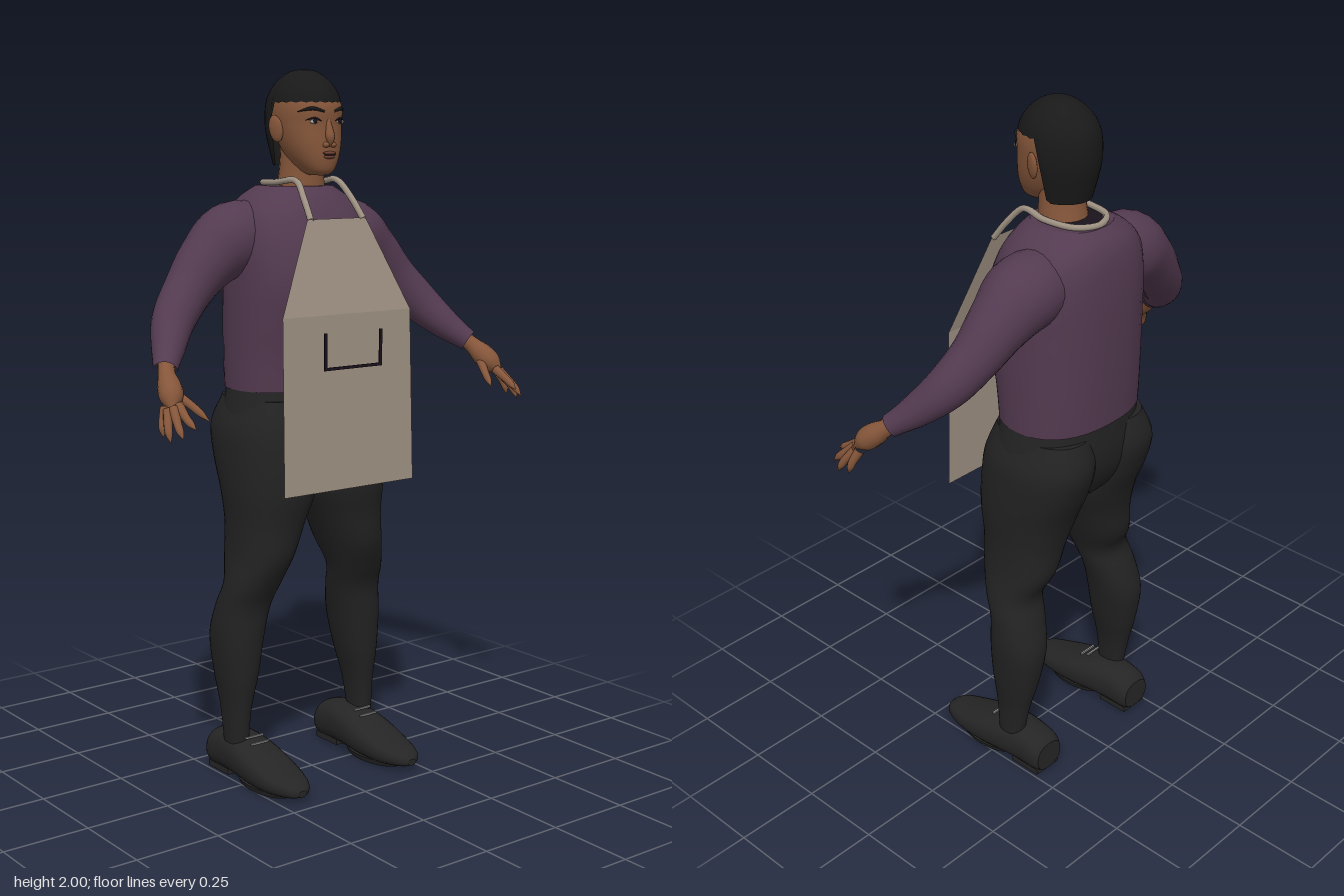
import * as THREE from 'three';
import { mergeVertices } from 'three/addons/utils/BufferGeometryUtils.js';

const V = (x, y, z) => new THREE.Vector3(x, y, z);
const mat = (name, color, side = THREE.FrontSide) => {
  const m = new THREE.MeshStandardMaterial({ color, side });
  m.name = name;
  return m;
};

// Resample section rows smoothly; the first column is the position along the loft.
function smoothRows(rows, n) {
  const curves = rows[0].map((_, k) =>
    new THREE.SplineCurve(rows.map((r, i) => new THREE.Vector2(i, r[k]))));
  return Array.from({ length: n + 1 }, (_, i) => curves.map(c => c.getPoint(i / n).y));
}

// Skin a stack of closed rings, with flat end caps.
function skin(rings) {
  const n = rings[0].length, pos = [], idx = [];
  rings.forEach(r => r.forEach(p => pos.push(p.x, p.y, p.z)));
  for (let i = 0; i < rings.length - 1; i++) for (let j = 0; j < n; j++) {
    const a = i * n + j, b = i * n + (j + 1) % n;
    idx.push(a, a + n, b, b, a + n, b + n);
  }
  [0, rings.length - 1].forEach((k, end) => {
    const c = pos.length / 3, mid = V(0, 0, 0);
    rings[k].forEach(p => { mid.addScaledVector(p, 1 / n); pos.push(p.x, p.y, p.z); });
    pos.push(mid.x, mid.y, mid.z);
    for (let j = 0; j < n; j++) {
      const a = c + j, b = c + (j + 1) % n;
      if (end) idx.push(a, c + n, b); else idx.push(a, b, c + n);
    }
  });
  const g = new THREE.BufferGeometry();
  g.setAttribute('position', new THREE.Float32BufferAttribute(pos, 3));
  g.setIndex(idx);
  g.computeVertexNormals();
  return g;
}

const pw = (v, e) => Math.sign(v) * Math.abs(v) ** (2 / e);

// Rows [y, xMin, xMax, zFront, zBack] from the bottom up.
function bodyLoft(rows, e = 2.2, steps = 32, n = 36) {
  return skin(smoothRows(rows, steps).map(([y, x0, x1, zf, zb]) =>
    Array.from({ length: n }, (_, j) => {
      const a = j / n * Math.PI * 2;
      return V((x0 + x1) / 2 + (x1 - x0) / 2 * pw(Math.cos(a), e), y,
        (zf + zb) / 2 + (zf - zb) / 2 * pw(Math.sin(a), e));
    })));
}

// Round limb along a curve whose radius follows a list.
function limb(points, radii, steps = 24, radial = 18) {
  const curve = new THREE.CatmullRomCurve3(points);
  const g = new THREE.TubeGeometry(curve, steps, 1, radial);
  const p = g.attributes.position, v = V(0, 0, 0);
  const r = new THREE.SplineCurve(radii.map((q, i) => new THREE.Vector2(i, q)));
  for (let i = 0; i <= steps; i++) {
    const c = curve.getPointAt(i / steps), s = Math.max(r.getPoint(i / steps).y, 0.0005);
    for (let j = 0; j <= radial; j++) {
      const k = i * (radial + 1) + j;
      v.fromBufferAttribute(p, k).sub(c).multiplyScalar(s).add(c);
      p.setXYZ(k, v.x, v.y, v.z);
    }
  }
  g.deleteAttribute('uv');
  g.deleteAttribute('normal');
  const m = mergeVertices(g, 1e-5);
  m.computeVertexNormals();
  return m;
}

// Hair cap: profile rings that stop at a hairline dropping behind the ears.
function hairCap() {
  const prof = new THREE.SplineCurve([[0, 2], [0.3, 1.996], [0.58, 1.978], [0.82, 1.95], [0.96, 1.915],
    [1, 1.87], [0.96, 1.82], [0.78, 1.74]].map(p => new THREE.Vector2(...p)));
  const n = 48, m = 18, pos = [], idx = [];
  for (let i = 0; i <= m; i++) for (let j = 0; j < n; j++) {
    const a = j / n * Math.PI * 2, s = Math.sin(a);
    const back = THREE.MathUtils.smoothstep(-s, 0.02, 0.3);
    const q = prof.getPoint(i / m * (0.58 + 0.42 * back + (j % 2) * 0.012 * (1 - back)));
    pos.push(0.1 * q.x * Math.cos(a), q.y, -0.04 + 0.12 * q.x * s);
    if (i < m) {
      const p = i * n + j, b = i * n + (j + 1) % n;
      idx.push(p, b, p + n, b, b + n, p + n);
    }
  }
  const g = new THREE.BufferGeometry();
  g.setAttribute('position', new THREE.Float32BufferAttribute(pos, 3));
  g.setIndex(idx);
  g.computeVertexNormals();
  return g;
}

export function createModel() {
  const root = new THREE.Group();
  const skinM = mat('skin', 0x85563a), shirt = mat('shirt purple', 0x533a50);
  const trousers = mat('trouser black', 0x222222), hair = mat('hair black', 0x191919, THREE.DoubleSide);
  const shoe = mat('shoe black', 0x252525), cloth = mat('apron beige', 0x9f9283, THREE.DoubleSide);
  const dark = mat('dark trim', 0x1a131c, THREE.DoubleSide), white = mat('eye white', 0xb8aea6);
  const lip = mat('lips', 0x6e3f32), lace = mat('lace grey', 0x8a8a8a);
  const add = (name, geo, m, pos) => {
    const mesh = new THREE.Mesh(geo, m);
    mesh.name = name;
    if (pos) mesh.position.set(...pos);
    root.add(mesh);
    return mesh;
  };
  const blob = (name, m, pos, size) => {
    const b = add(name, new THREE.SphereGeometry(1, 18, 12), m, pos);
    b.scale.set(...size);
    return b;
  };
  const sym = rows => rows.map(([y, w, zf, zb]) => [y, -w, w, zf, zb]);

  // Torso and hips
  add('shirtBody', bodyLoft(sym([[1.125, .21, .075, -.233], [1.22, .212, .085, -.238], [1.32, .214, .105, -.242],
    [1.42, .215, .12, -.245], [1.52, .212, .108, -.245], [1.6, .195, .078, -.238], [1.65, .155, .05, -.222],
    [1.685, .1, .022, -.19]]), 2.4), shirt);
  const neckline = add('neckline', new THREE.CircleGeometry(1, 32), dark, [0, 1.687, -.082]);
  neckline.rotation.x = -Math.PI / 2;
  neckline.scale.set(.076, .085, 1);
  add('hips', bodyLoft(sym([[.84, .1, .02, -.1], [.88, .19, .065, -.17], [.95, .232, .085, -.215],
    [1.03, .23, .085, -.232], [1.145, .203, .068, -.225]]), 2.3), trousers);

  // Neck and head
  add('neck', limb([V(0, 1.65, -.055), V(0, 1.72, -.05), V(0, 1.82, -.045)], [.07, .062, .06]), skinM);
  add('head', bodyLoft(sym([[1.715, .022, .06, .0], [1.728, .042, .074, -.03], [1.76, .064, .08, -.07],
    [1.80, .08, .08, -.1], [1.85, .09, .076, -.125], [1.90, .092, .076, -.135], [1.945, .078, .05, -.12],
    [1.975, .04, .0, -.08]]), 2.2), skinM);
  add('hair', hairCap(), hair);

  // Face
  add('noseBridge', limb([V(0, 1.87, .07), V(0, 1.83, .079), V(0, 1.803, .083), V(0, 1.79, .078)],
    [.006, .01, .013, .001], 14, 12), skinM);
  blob('upperLip', lip, [0, 1.775, .079], [.022, .005, .008]);
  blob('lowerLip', lip, [0, 1.765, .078], [.019, .006, .008]);
  blob('mouthLine', dark, [0, 1.77, .081], [.021, .0015, .006]);

  for (const s of [1, -1]) {
    const side = s > 0 ? 'left' : 'right';
    const P = (x, y, z) => V(s * x, y, z);

    blob(side + 'Nostril', skinM, [s * .012, 1.797, .077], [.01, .008, .011]);
    blob(side + 'EyeWhite', white, [s * .042, 1.859, .067], [.016, .006, .005]);
    blob(side + 'Iris', dark, [s * .042, 1.86, .07], [.008, .006, .004]);
    add(side + 'EyelidLine', limb([P(.022, 1.86, .074), P(.042, 1.868, .071), P(.064, 1.863, .056)],
      [.001, .003, .001], 10, 6), dark);
    add(side + 'Brow', limb([P(.016, 1.886, .077), P(.048, 1.894, .067), P(.078, 1.885, .037)],
      [.003, .005, .001], 12, 8), hair);
    const ear = blob(side + 'Ear', skinM, [s * .097, 1.84, -.035], [.01, .037, .022]);
    ear.rotation.set(-.15, s * -.35, s * -.15);

    // Sleeve
    add(side + 'Sleeve', limb([P(.11, 1.55, -.105), P(.2, 1.54, -.1), P(.285, 1.485, -.095), P(.36, 1.41, -.08),
      P(.43, 1.335, -.045), P(.485, 1.268, .015), P(.528, 1.222, .068)],
      [.095, .103, .083, .068, .06, .047, .032], 36, 24), shirt);

    // Hand
    add(side + 'Palm', limb([P(.515, 1.235, .052), P(.533, 1.208, .085), P(.548, 1.175, .125), P(.565, 1.142, .16),
      P(.57, 1.132, .17)], [.022, .024, .032, .029, .004], 20, 14), skinM);
    [[[.55, 1.145, .165], [.555, 1.115, .215], [.552, 1.095, .25]],
      [[.565, 1.14, .165], [.58, 1.1, .21], [.584, 1.072, .24]],
      [[.575, 1.135, .155], [.595, 1.095, .185], [.6, 1.06, .205]],
      [[.575, 1.14, .14], [.593, 1.1, .155], [.597, 1.068, .165]],
      [[.535, 1.175, .11], [.508, 1.14, .165], [.488, 1.105, .215]]].forEach((f, i) =>
      add(side + (i < 4 ? 'Finger' : 'Thumb'), limb(f.map(p => P(...p)),
        [.014, .0125, .011, .0095, .001], 14, 10), skinM));

    // Trouser leg
    add(side + 'Leg', bodyLoft([[.11, .195, .255, -.02, -.105], [.21, .186, .258, -.012, -.125],
      [.31, .162, .271, .002, -.15], [.42, .14, .28, .008, -.165], [.51, .12, .274, .012, -.14],
      [.58, .103, .262, .042, -.118], [.66, .072, .245, .075, -.153], [.75, .036, .24, .085, -.165],
      [.84, .0, .246, .1, -.19], [.93, -.004, .247, .1, -.228], [1.02, .0, .24, .088, -.25],
      [1.1, .012, .205, .06, -.225]].map(([y, a, b, zf, zb]) => [y, s > 0 ? a : -b, s > 0 ? b : -a, zf, zb]),
      2.2, 48), trousers);

    // Shoe, lofted from toe to heel: [z, halfWidth, yBottom, yTop]
    const rows = smoothRows([[.22, .014, .022, .04], [.195, .042, .014, .06], [.13, .065, .006, .078],
      [.04, .073, .004, .108], [-.04, .069, .008, .128], [-.11, .062, .008, .132], [-.165, .058, .006, .12],
      [-.188, .048, .012, .1]], 28);
    add(side + 'Shoe', skin(rows.map(([z, w, y0, y1]) => Array.from({ length: 28 }, (_, j) => {
      const a = j / 28 * Math.PI * 2;
      return V(s * .198 + w * pw(Math.cos(a), 2.4), (y0 + y1) / 2 + (y1 - y0) / 2 * pw(Math.sin(a), 2.4), z);
    }))), shoe);
    add(side + 'Sole', new THREE.CylinderGeometry(.062, .056, .016, 28), shoe, [s * .198, .008, .05]).scale.z = 1.9;
    add(side + 'Heel', new THREE.BoxGeometry(.09, .018, .1), shoe, [s * .198, .012, -.13]);
    for (const z of [-.012, .015])
      add(side + 'Lace', new THREE.BoxGeometry(.06, .005, .006), lace, [s * .198, .13 - (z + .012) * .4, z]);
  }

  // Apron sheet: bib above, skirt below
  const rows = [[1.6, .1, .112], [1.345, .22, .163], [.862, .225, .176]];
  const sheet = new THREE.PlaneGeometry(2, 2, 1, 2), p = sheet.attributes.position;
  for (let i = 0; i < p.count; i++) {
    const [y, w, z] = rows[i >> 1];
    p.setXYZ(i, p.getX(i) * w, y, z);
  }
  const apron = sheet.toNonIndexed();
  apron.computeVertexNormals();
  add('apron', apron, cloth);

  // Neck strap loop
  const half = [[.09, 1.597, .114], [.081, 1.655, .07], [.071, 1.7, .022], [.08, 1.695, -.06], [.06, 1.692, -.15]];
  const loop = [...half.map(q => V(...q)), V(0, 1.69, -.18), ...half.slice().reverse().map(([x, y, z]) => V(-x, y, z))];
  add('neckStrap', new THREE.TubeGeometry(new THREE.CatmullRomCurve3(loop), 64, .009, 8), cloth);

  // Pocket outline
  for (const x of [-.095, .095]) add('pocketSide', new THREE.BoxGeometry(.009, .1, .004), dark, [x, 1.25, .187]);
  add('pocketBottom', new THREE.BoxGeometry(.198, .008, .004), dark, [0, 1.202, .187]);
  return root;
}
